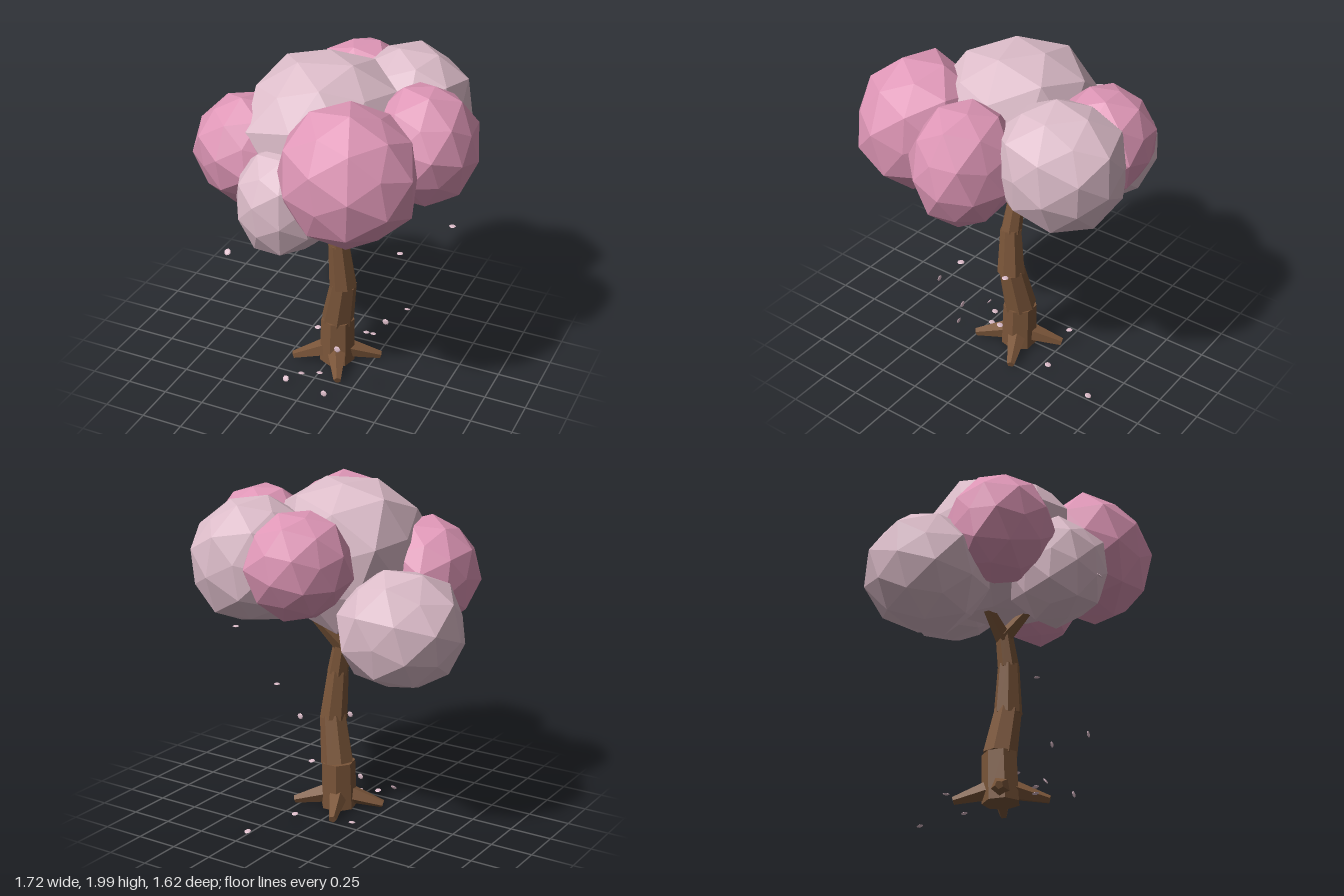
import * as THREE from 'three';

const mat = (name, color) => {
  const m = new THREE.MeshStandardMaterial({ color });
  m.name = name;
  return m;
};

// Separate every face so that it shades flat
function facet(geometry) {
  const g = geometry.index ? geometry.toNonIndexed() : geometry;
  g.computeVertexNormals();
  return g;
}

// Tapered prism running from point a to point b
function limb(name, a, b, ra, rb, sides, material, roll = 0) {
  const from = new THREE.Vector3(...a), to = new THREE.Vector3(...b);
  const dir = to.clone().sub(from);
  const geo = new THREE.CylinderGeometry(rb, ra, dir.length(), sides);
  geo.rotateY(roll);
  const mesh = new THREE.Mesh(facet(geo), material);
  mesh.name = name;
  mesh.position.copy(from).add(to).multiplyScalar(0.5);
  mesh.quaternion.setFromUnitVectors(new THREE.Vector3(0, 1, 0), dir.normalize());
  return mesh;
}

// Chunky faceted ball turned by rot and fitted to the box from lo to hi;
// a swell above 1 flattens it where it meets the box
function foliage(name, lo, hi, rot, material, swell) {
  const geo = new THREE.IcosahedronGeometry(1, 1);
  const p = geo.attributes.position, v = new THREE.Vector3();
  for (let i = 0; i < p.count; i++) {
    v.fromBufferAttribute(p, i);
    const a = [v.x, v.y, v.z].map(Math.abs);
    // Sink the twelve five-sided corners to form broad, nearly flat pentagons
    const sunk = Math.min(...a) < 0.01 && Math.max(...a) < 0.9;
    const uneven = 1 + 0.03 * Math.sin(7 * v.x + 11 * v.y + 5 * v.z + 9 * rot[0]);
    v.multiplyScalar((sunk ? 0.94 : 1) * uneven);
    p.setXYZ(i, v.x, v.y, v.z);
  }
  geo.rotateX(rot[0]).rotateY(rot[1]).rotateZ(rot[2]);
  geo.center();
  const size = geo.boundingBox.getSize(new THREE.Vector3());
  const box = new THREE.Box3(new THREE.Vector3(...lo), new THREE.Vector3(...hi));
  const fit = box.getSize(new THREE.Vector3()).divide(size).multiplyScalar(swell);
  const mid = box.getCenter(new THREE.Vector3());
  for (let i = 0; i < p.count; i++) {
    v.fromBufferAttribute(p, i).multiply(fit).add(mid).clamp(box.min, box.max);
    p.setXYZ(i, v.x, v.y, v.z);
  }
  const mesh = new THREE.Mesh(facet(geo), material);
  mesh.name = name;
  return mesh;
}

export function createModel() {
  const tree = new THREE.Group();
  tree.name = 'blossomTree';
  const bark = mat('bark brown', 0x7a5539);
  const pale = mat('pale blossom', 0xdcbcc9);
  const pink = mat('pink blossom', 0xde96b6);

  // Trunk: stacked, slightly overlapping prisms that lean
  const trunk = new THREE.Group();
  trunk.name = 'trunk';
  const sections = [
    [[0.035, 0.01, 0], [0.035, 0.3, -0.008], 0.11, 0.104],
    [[0.035, 0.29, -0.01], [0.085, 0.575, 0.018], 0.1, 0.08],
    [[0.085, 0.56, 0.018], [0.062, 0.855, 0.035], 0.085, 0.064],
    [[0.062, 0.84, 0.035], [0.02, 1.06, 0.025], 0.064, 0.05],
  ];
  sections.forEach(([a, b, ra, rb], i) =>
    trunk.add(limb('trunkSection', a, b, ra, rb, 7, bark, i * 0.35)));
  tree.add(trunk);

  // Four roots splayed around the base
  for (let i = 0; i < 4; i++) {
    const t = THREE.MathUtils.degToRad(65 + 90 * i);
    const c = Math.cos(t), s = Math.sin(t);
    tree.add(limb('root', [0.035 + 0.05 * c, 0.09, 0.05 * s],
      [0.035 + 0.27 * c, 0.028, 0.27 * s], 0.062, 0.024, 5, bark));
  }

  // Three branches forking into the crown
  for (let i = 0; i < 3; i++) {
    const t = THREE.MathUtils.degToRad(75 + 120 * i);
    tree.add(limb('branch', [0.02, 1.01, 0.025],
      [0.02 + 0.25 * Math.cos(t), 1.29, 0.025 + 0.25 * Math.sin(t)], 0.05, 0.015, 5, bark));
  }

  // Crown of overlapping faceted balls
  const crown = new THREE.Group();
  crown.name = 'crown';
  const balls = [
    ['centreFoliage', [-0.43, 1.13, -0.38], [0.42, 2.0, 0.48], [0.65, 0.3, 0], pale, 1.09],
    ['frontLeftFoliage', [-0.06, 1.18, 0.11], [0.695, 1.95, 0.81], [0.4, 0.9, 0.2], pink, 1.02],
    ['leftFoliage', [0.24, 1.23, -0.31], [0.855, 1.91, 0.27], [0.1, 0.5, 0.4], pink, 1.02],
    ['backLeftFoliage', [-0.04, 1.25, -0.81], [0.635, 1.95, -0.1], [0.8, 0.2, 0.5], pale, 1.02],
    ['backFoliage', [-0.33, 1.32, -0.8], [0.25, 1.9, -0.22], [0.3, 0.7, 0.9], pink, 1.03],
    ['backRightFoliage', [-0.86, 0.915, -0.53], [-0.15, 1.58, 0.15], [0.5, 0.1, 0.7], pale, 1.05],
    ['rightFoliage', [-0.705, 1.15, -0.08], [-0.12, 1.8, 0.54], [0.2, 0.4, 0.1], pink, 1],
    ['frontFoliage', [-0.35, 1.01, 0.15], [0.18, 1.62, 0.7], [0.6, 0.8, 0.3], pale, 1.08],
  ];
  for (const ball of balls) crown.add(foliage(...ball));
  tree.add(crown);

  // Drifting and fallen petals: position, then tilt about x
  const petals = [
    [-0.27, 1.11, 0.77, 0.7], [0.71, 1.053, -0.1, 0], [0.375, 0.76, -0.15, 0],
    [0.41, 0.46, 0.14, 1.57], [0.24, 0.412, 0.45, 1.5], [0.23, 0.25, 0, -0.2],
    [-0.14, 0.03, 0.36, 0.95], [0.13, 0.03, 0.4, 1.45], [-0.08, 0.03, 0.27, -0.25],
    [0.02, 0.03, 0.22, -0.2], [0.15, 0.03, -0.3, -0.2], [0.24, 0.03, -0.65, -0.3],
    [-0.2, 0.03, -0.22, 0.1],
  ];
  const petalGeo = facet(new THREE.SphereGeometry(0.02, 8, 4).scale(1, 0.25, 1));
  for (const [x, y, z, tilt] of petals) {
    const petal = new THREE.Mesh(petalGeo, pale);
    petal.name = 'petal';
    petal.position.set(x, y, z);
    petal.rotation.x = tilt;
    tree.add(petal);
  }
  return tree;
}
